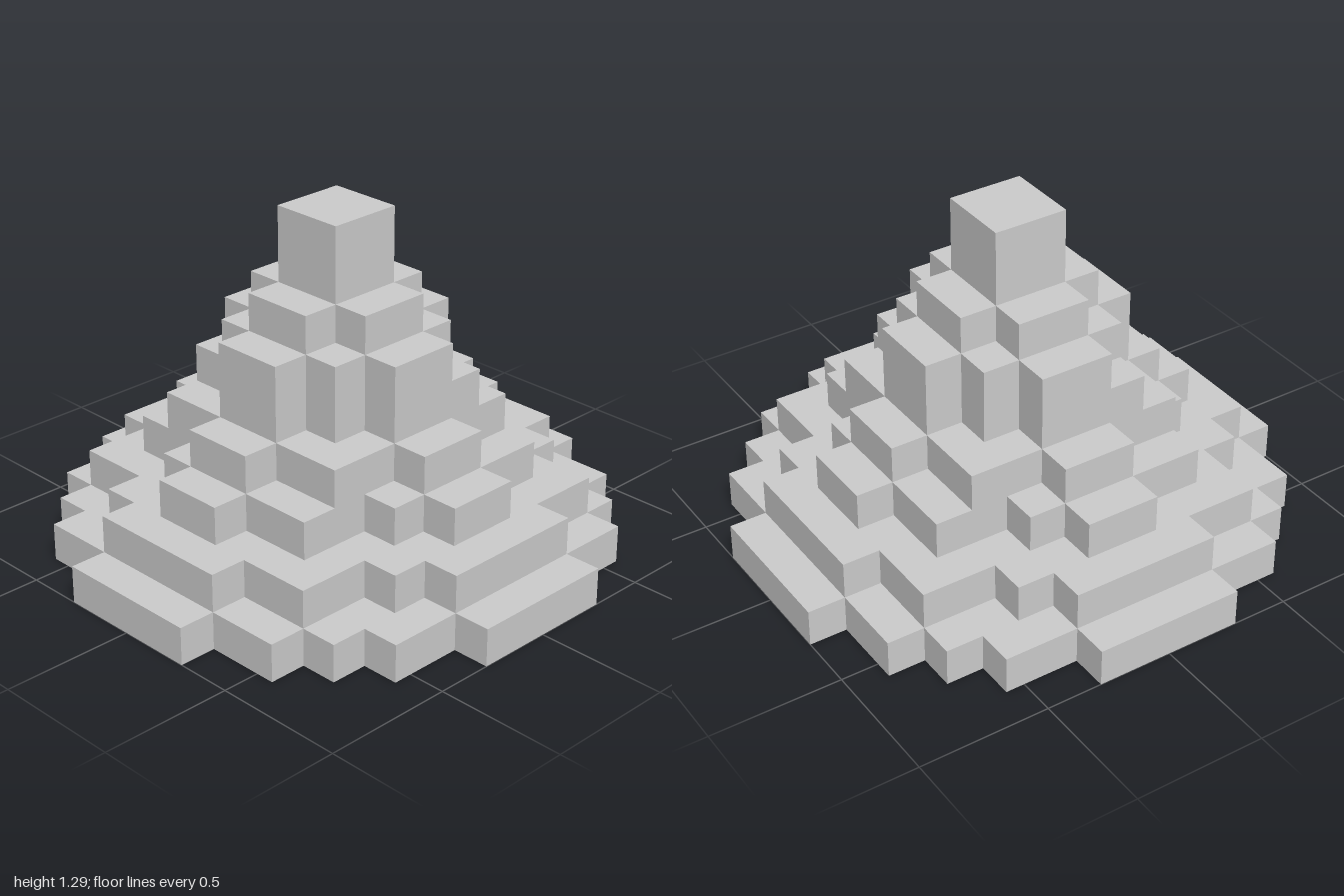
import * as THREE from 'three';

const U = 1 / 7; // edge of one block

// Each tier: right-hand edge (in blocks) of every one-block row from back to front.
// The left-hand edge is the same list turned half way round.
const TIERS = [
  { name: 'baseTier', rows: [2, 4, 5, 6, 6, 7, 7, 7, 7, 6, 6, 5, 4, 2] },
  { name: 'secondTier', rows: [2, 3, 5, 5, 6, 6, 6, 6, 5, 4, 4, 2] },
  { name: 'thirdTier', rows: [1, 2, 4, 4, 5, 5, 4, 3, 3, 1] },
  { name: 'fourthTier', rows: [1, 3, 3, 4, 4, 3, 3, 1] },
  { name: 'fifthTier', rows: [1, 2, 3, 3, 2, 2] },
  { name: 'sixthTier', rows: [1, 2, 3, 3, 2, 1] },
  { name: 'seventhTier', rows: [1, 2, 2, 1] },
  { name: 'peakBlock', rows: [1, 1], height: 2 },
];

// Stepped outline of a tier, extruded upwards
function tierGeometry(rows, height) {
  const half = rows.length / 2;
  const right = [];
  rows.forEach((x, i) => {
    const z = i - half;
    if (rows[i - 1] !== x) right.push([x, z]);
    if (rows[i + 1] !== x) right.push([x, z + 1]);
  });
  const outline = [...right, ...right.map(([x, z]) => [-x, -z])];
  const shape = new THREE.Shape(outline.map(([x, z]) => new THREE.Vector2(x * U, -z * U)));
  const geometry = new THREE.ExtrudeGeometry(shape, { depth: height * U, bevelEnabled: false });
  return geometry.rotateX(-Math.PI / 2);
}

export function createModel() {
  const group = new THREE.Group();
  group.name = 'steppedMound';
  const material = new THREE.MeshStandardMaterial({ color: 0xcccccc, flatShading: true });

  // Stack the tiers from the ground up
  let level = 0;
  for (const { name, rows, height = 1 } of TIERS) {
    const tier = new THREE.Mesh(tierGeometry(rows, height), material);
    tier.name = name;
    tier.position.y = level * U;
    group.add(tier);
    level += height;
  }
  return group;
}
